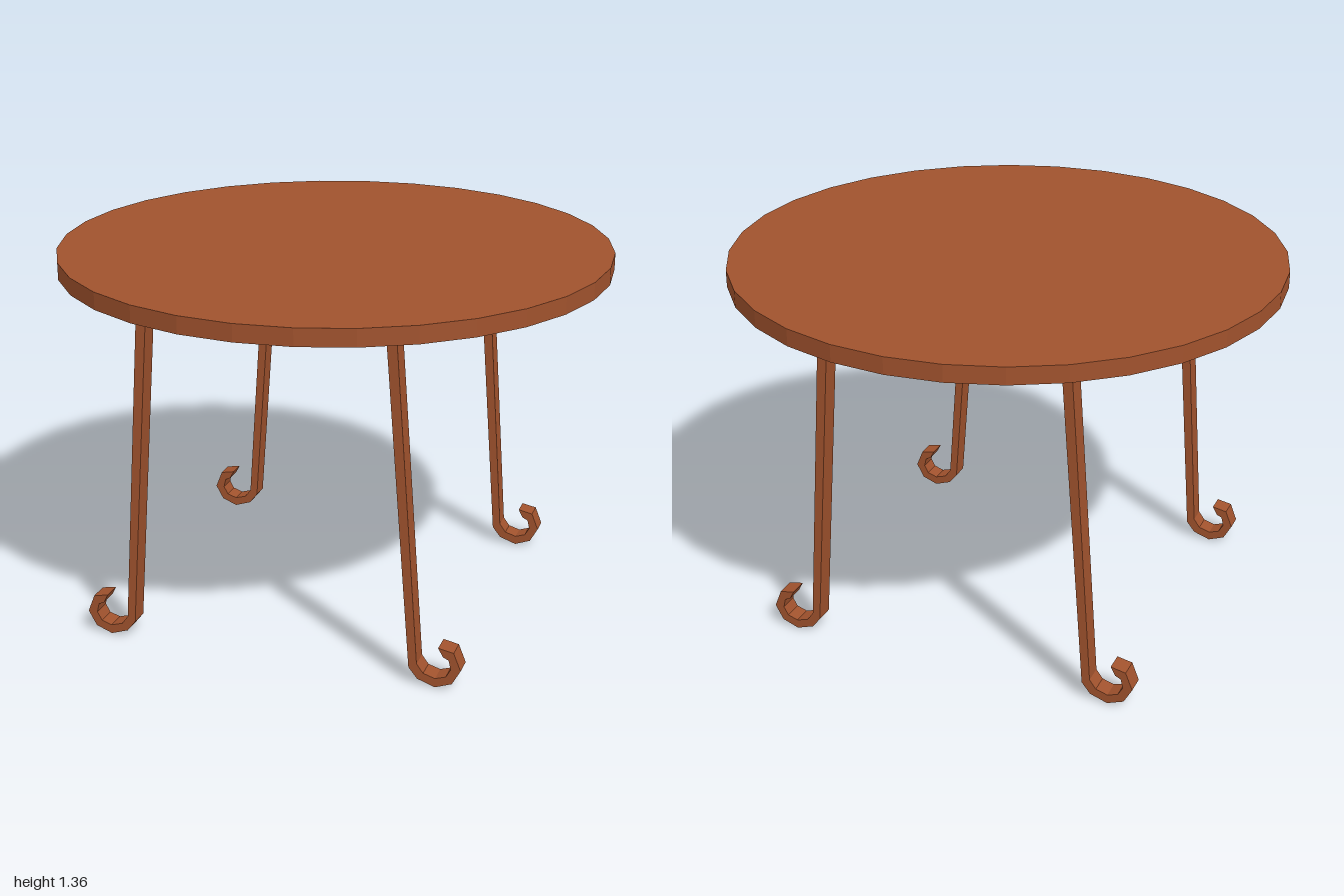
import * as THREE from 'three';

export function createModel() {
  const table = new THREE.Group();
  table.name = 'roundTable';
  const wood = new THREE.MeshStandardMaterial({ color: 0xa0522d, flatShading: true });

  // Round top with a faceted rim
  const top = new THREE.Mesh(new THREE.CylinderGeometry(1, 1, 0.062, 32), wood);
  top.name = 'tableTop';
  top.position.y = 1.331;
  table.add(top);

  // Flat leg profile ending in an outward scroll, relative to the legs' middle line
  const outline = [
    // inner side of the leg, then around the outside of the scroll
    [0.421, 1.302], [0.518, 0.062], [0.55, 0.022], [0.614, 0], [0.674, 0.023],
    [0.704, 0.078], [0.678, 0.143], [0.623, 0.154],
    // back along the inside of the scroll and up the outer side
    [0.64, 0.122], [0.661, 0.112], [0.669, 0.078], [0.652, 0.047], [0.614, 0.034],
    [0.571, 0.047], [0.547, 0.08], [0.457, 1.302],
  ];
  const depth = 0.07;
  const middleX = -0.03;

  for (const side of [1, -1]) {
    const points = outline.map(([x, y]) => new THREE.Vector2(side * x, y));
    const geometry = new THREE.ExtrudeGeometry(new THREE.Shape(points), {
      depth, bevelEnabled: false,
    });
    geometry.translate(middleX, 0, -depth / 2);
    for (const [end, z] of [['Front', 0.621], ['Back', -0.604]]) {
      const leg = new THREE.Mesh(geometry, wood);
      leg.name = (side > 0 ? 'left' : 'right') + end + 'Leg';
      leg.position.z = z;
      table.add(leg);
    }
  }
  return table;
}
